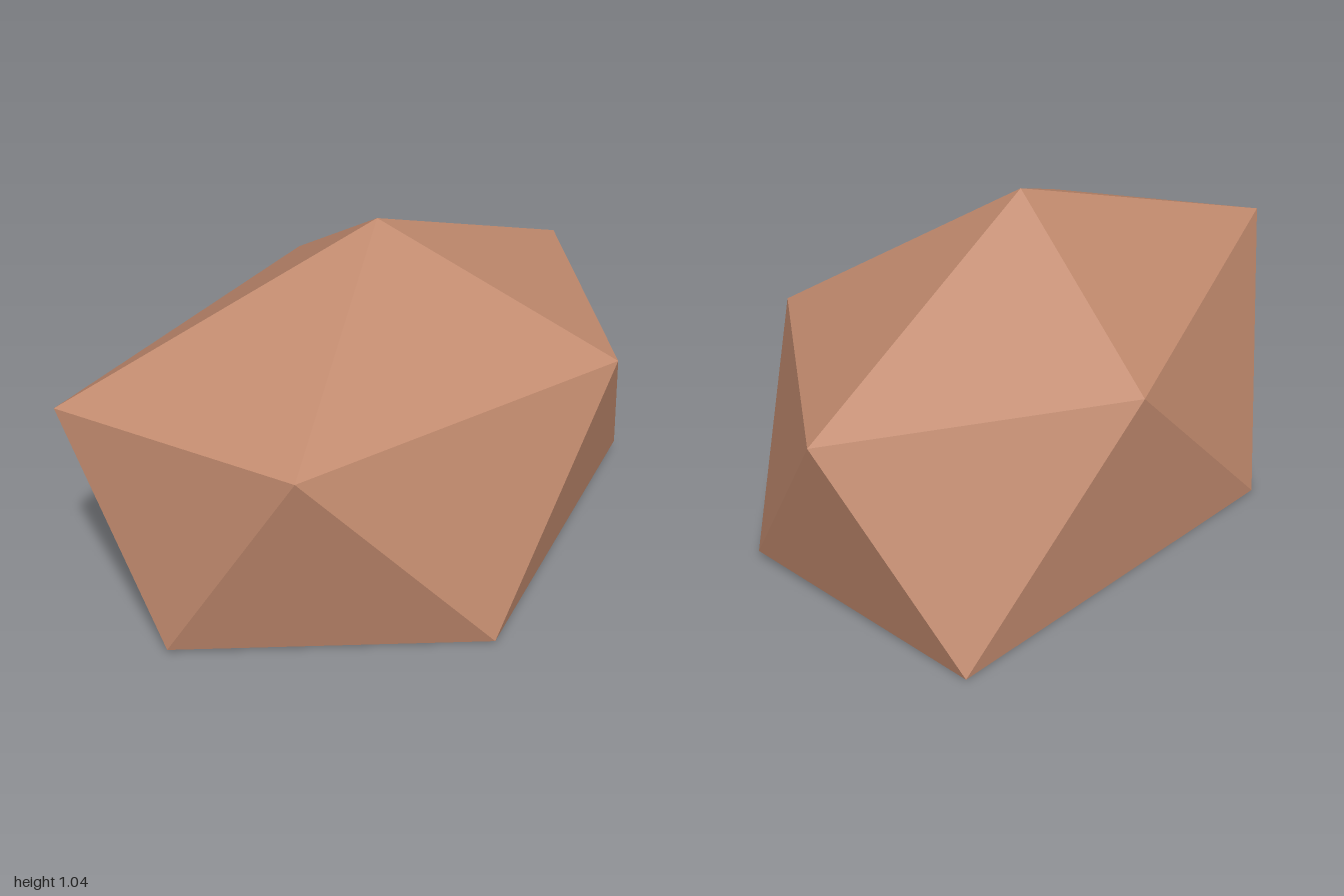
import * as THREE from 'three';

// Faceted boulder: apex, two staggered five-point rings and a flat base point
export function createModel() {
  const clay = new THREE.MeshStandardMaterial({ color: 0xc0896d });
  clay.name = 'clay brown';

  const apex = [-0.02, 1.04, 0];
  const base = [0, 0, 0];
  const upper = [[1, 0.68, 0], [0.33, 0.63, 0.66], [-0.83, 0.65, 0.38], [-1, 0.69, -0.36], [0.31, 0.68, -0.62]];
  const lower = [[0.81, 0.035, 0.42], [-0.345, 0, 0.7], [-0.98, 0.015, 0], [-0.35, 0, -0.7], [0.89, 0, -0.41]];

  // Cap, zigzag side band and underside, one sector at a time
  const points = [];
  for (let i = 0; i < 5; i++) {
    const j = (i + 1) % 5;
    points.push(apex, upper[j], upper[i]);
    points.push(upper[i], upper[j], lower[i]);
    points.push(lower[i], upper[j], lower[j]);
    points.push(base, lower[i], lower[j]);
  }

  // Unshared corners give every facet its own flat normal
  const geometry = new THREE.BufferGeometry();
  geometry.setAttribute('position', new THREE.Float32BufferAttribute(points.flat(), 3));
  geometry.computeVertexNormals();

  const boulder = new THREE.Mesh(geometry, clay);
  boulder.name = 'boulder';
  const group = new THREE.Group();
  group.name = 'rock';
  group.add(boulder);
  return group;
}
